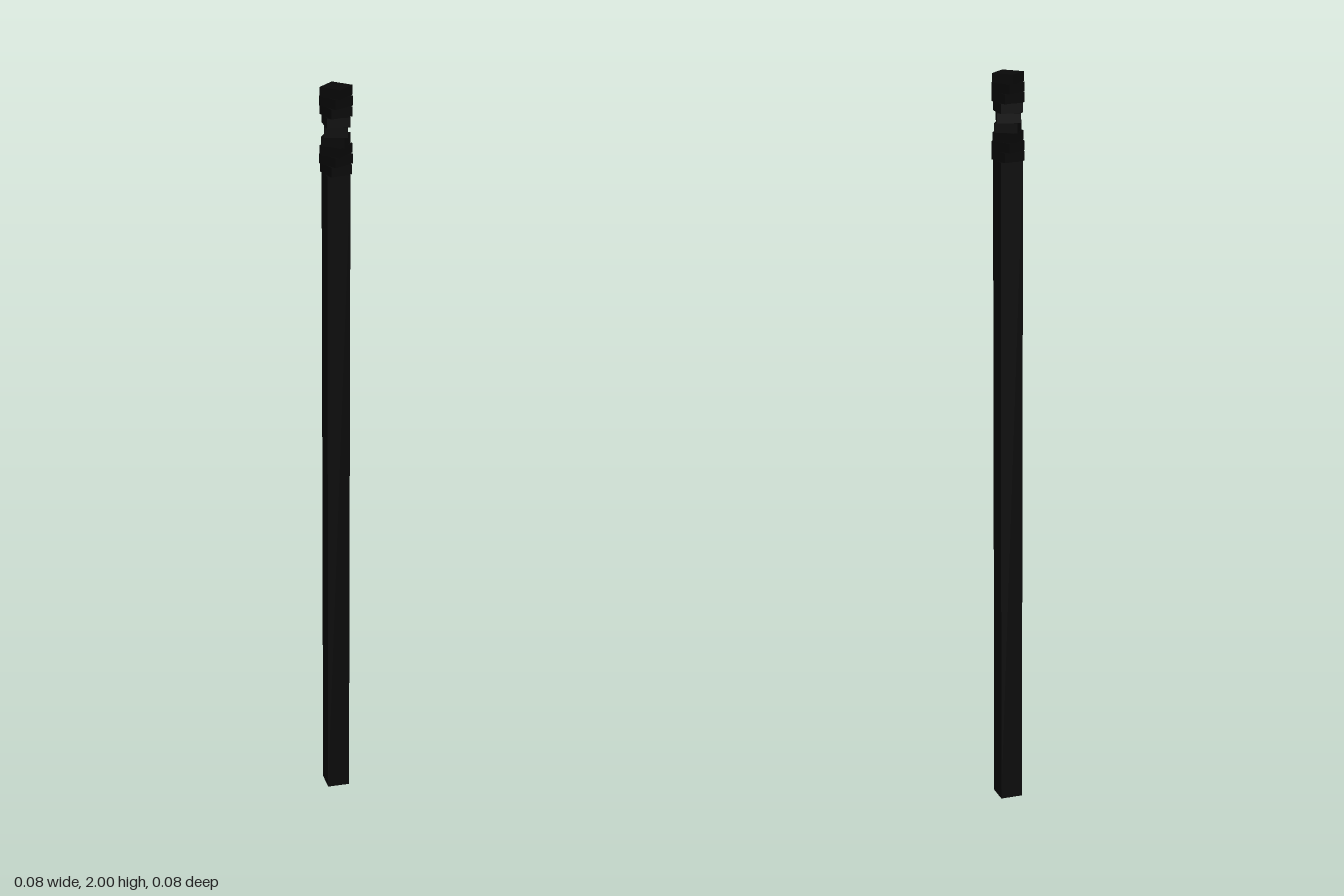
import * as THREE from 'three';

const WIDTH = 0.06;
const TOP = 2;
const SLABS = 9;
const SLAB_HEIGHT = 0.025;
const STEP = Math.PI / 12; // each slab turns 15 degrees further

export function createModel() {
  const model = new THREE.Group();
  model.name = 'twistedPost';
  const black = new THREE.MeshStandardMaterial({ color: 0x080808 });
  black.name = 'black';

  // A square block standing on y, turned about the vertical axis
  function block(name, y, height, turn, parent) {
    const mesh = new THREE.Mesh(new THREE.BoxGeometry(WIDTH, height, WIDTH), black);
    mesh.name = name;
    mesh.position.y = y + height / 2;
    mesh.rotation.y = turn;
    parent.add(mesh);
  }

  // Straight square shaft
  const shaftHeight = TOP - SLABS * SLAB_HEIGHT;
  block('shaft', 0, shaftHeight, 0, model);

  // Stepped twist at the top, made of stacked turned slabs
  const twist = new THREE.Group();
  twist.name = 'twistedTop';
  for (let i = 0; i < SLABS; i++) {
    block(`twistSlab${i + 1}`, shaftHeight + i * SLAB_HEIGHT, SLAB_HEIGHT, (i + 1) * STEP, twist);
  }
  model.add(twist);
  return model;
}
